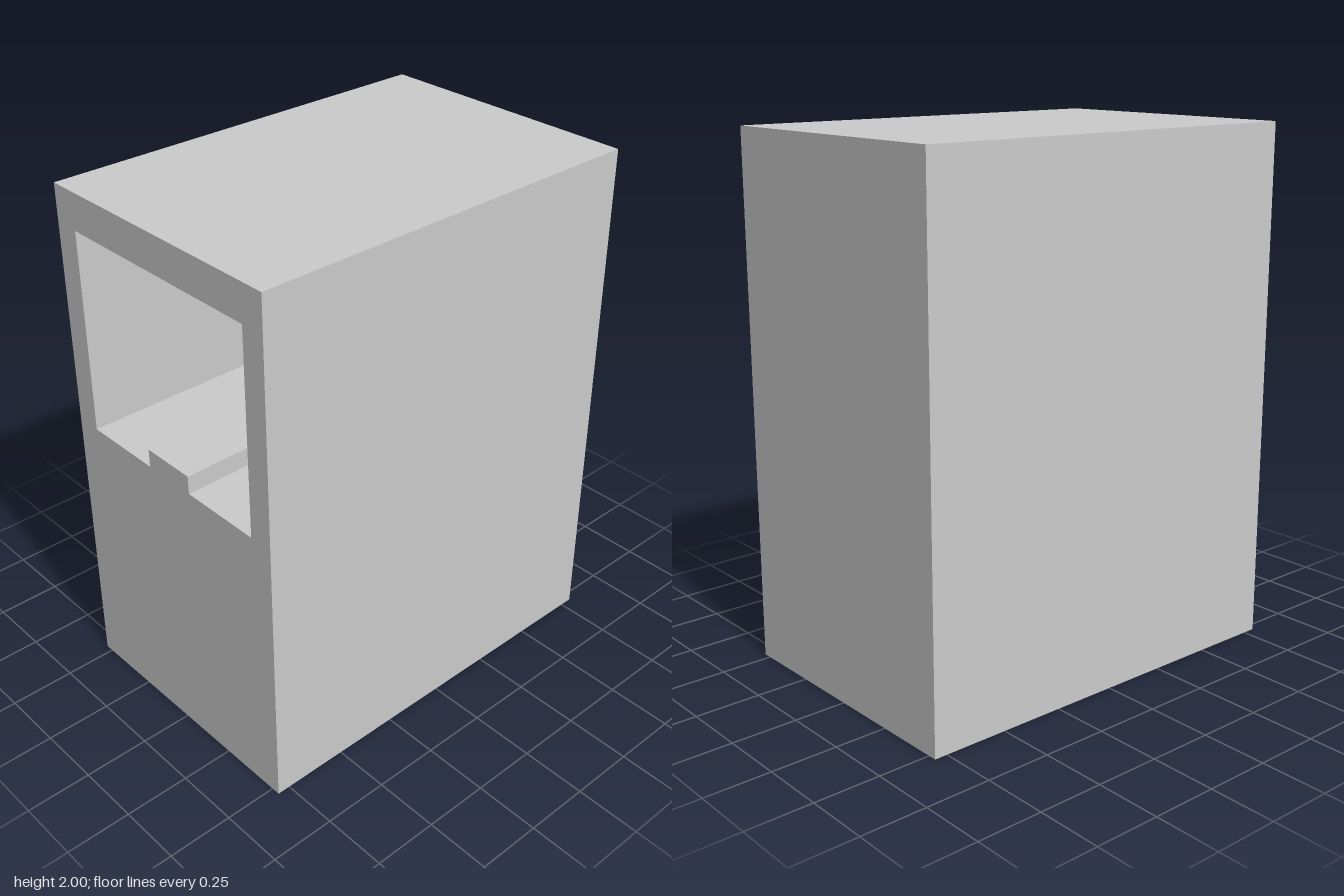
import * as THREE from 'three';

const W = 1.066, H = 2, D = 1.6, FRONT = D / 2;
// Recess opening and depth
const X0 = -0.433, X1 = 0.438, Y0 = 1.085, Y1 = 1.86, DEPTH = 0.99;

// Box without its front (+z) face; inward = true turns it into a cavity lining
function openBox(w, h, d, inward = false) {
  const geo = new THREE.BoxGeometry(w, h, d);
  const index = Array.from(geo.index.array).filter((_, i) => i < 24 || i >= 30);
  geo.setIndex(inward ? index.reverse() : index);
  geo.clearGroups();
  if (inward) geo.computeVertexNormals();
  return geo;
}

function rectangle(PathType, x0, y0, x1, y1) {
  return new PathType([[x0, y0], [x1, y0], [x1, y1], [x0, y1]].map(([x, y]) => new THREE.Vector2(x, y)));
}

export function createModel() {
  const model = new THREE.Group();
  model.name = 'cabinet';
  const material = new THREE.MeshStandardMaterial({ color: 0xcccccc });

  function add(name, geometry, x, y, z) {
    const mesh = new THREE.Mesh(geometry, material);
    mesh.name = name;
    mesh.position.set(x, y, z);
    model.add(mesh);
  }

  // Outer casing: sides, top, bottom and back
  add('casing', openBox(W, H, D), 0, H / 2, 0);

  // Front panel with the recess opening cut out
  const panel = rectangle(THREE.Shape, -W / 2, 0, W / 2, H);
  panel.holes.push(rectangle(THREE.Path, X0, Y0, X1, Y1));
  add('frontPanel', new THREE.ShapeGeometry(panel), 0, 0, FRONT);

  // Recess walls, floor, ceiling and back
  add('recess', openBox(X1 - X0, Y1 - Y0, DEPTH, true), (X0 + X1) / 2, (Y0 + Y1) / 2, FRONT - DEPTH / 2);

  // Small block on the recess floor, flush with the front
  const bh = 0.07, bd = 0.29;
  add('floorBlock', new THREE.BoxGeometry(0.22, bh, bd), 0, Y0 + bh / 2, FRONT - bd / 2);

  return model;
}
